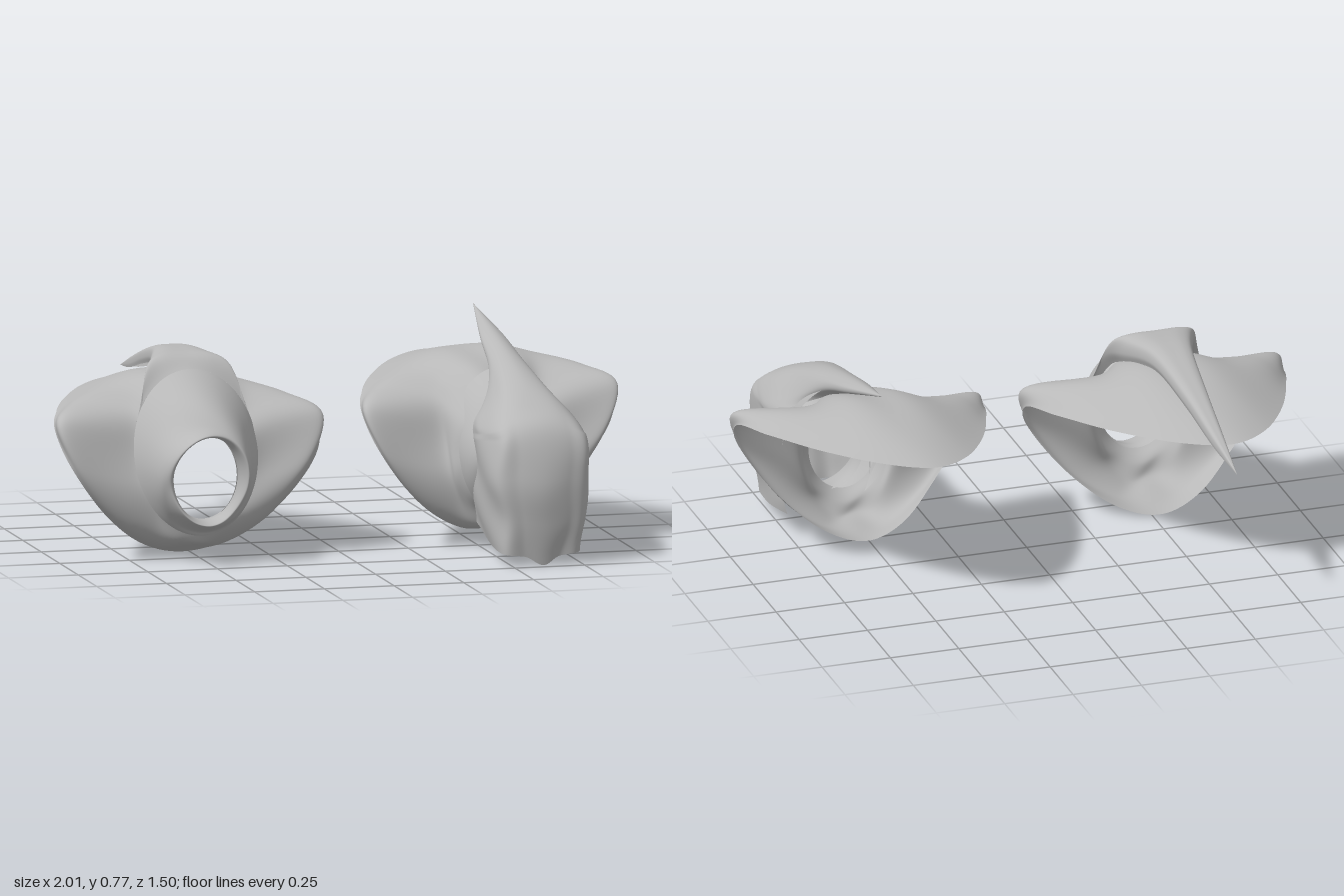
import * as THREE from 'three';

const cloth = new THREE.MeshStandardMaterial({ color: 0xb8b8b8, side: THREE.DoubleSide });
cloth.name = 'greyCloth';

const vec = (p) => new THREE.Vector3(...p);
const curve = (pts, closed) => new THREE.CatmullRomCurve3(pts, closed, 'catmullrom', 0.5);

// Half a section runs from the centre line outward; mirror it to a full one
function mirrorOpen(half) {
  return [...half.slice(1).reverse().map(([x, y, z]) => [-x, y, z]), ...half];
}
function mirrorClosed(half) {
  return [...half, ...half.slice(1, -1).reverse().map(([x, y, z]) => [-x, y, z])];
}

// Half an upright ellipse, top to bottom; lean pushes the top forward
function halfRing(rx, ry, cy, z, lean = 0) {
  return Array.from({ length: 9 }, (_, i) => {
    const a = (i * Math.PI) / 8;
    return [rx * Math.sin(a), cy + ry * Math.cos(a), z + lean * Math.cos(a)];
  });
}

// Smooth cloth through rows of control points
function drape(name, rows, closed, adjust = () => {}, across = 80, along = 40) {
  const lines = rows.map((r) => curve(r.map(vec), closed));
  const cols = closed ? across : across + 1;
  const pos = [], index = [];
  for (let i = 0; i < cols; i++) {
    const u = i / across;
    const rib = curve(lines.map((l) => l.getPoint(u)), false);
    for (let j = 0; j <= along; j++) {
      const p = rib.getPoint(j / along);
      adjust(p, u, j / along);
      pos.push(p.x, p.y, p.z);
    }
  }
  const n = along + 1;
  for (let i = 0; i < across; i++) {
    for (let j = 0; j < along; j++) {
      const a = i * n + j, b = ((i + 1) % cols) * n + j;
      index.push(a, a + 1, b, b, a + 1, b + 1);
    }
  }
  const geo = new THREE.BufferGeometry();
  geo.setAttribute('position', new THREE.Float32BufferAttribute(pos, 3));
  geo.setIndex(index);
  geo.computeVertexNormals();
  const mesh = new THREE.Mesh(geo, cloth);
  mesh.name = name;
  return mesh;
}

// Shoulder cape: neck hole, chest and shoulders, then the free hem
const chest = [
  [0, .61, .14], [.09, .6, .14], [.16, .57, .16], [.2, .51, .21], [.21, .42, .26],
  [.2, .28, .29], [.15, .15, .3], [.08, .08, .3], [0, .065, .3],
];
const shoulders = [
  [0, .625, -.08], [.11, .62, -.07], [.23, .59, 0], [.36, .55, .12], [.455, .49, .25],
  [.38, .32, .3], [.26, .145, .27], [.12, .05, .23], [0, .033, .21],
];
const hem = [
  [0, .527, -.51], [.16, .52, -.42], [.31, .505, -.22], [.42, .49, 0], [.47, .455, .18],
  [.435, .34, .27], [.31, .17, .24], [.16, .05, .16], [0, .006, .12],
];
function cape(lift, tilt, shift, scale) {
  const rows = [
    halfRing(.13, .155, .31, .37), halfRing(.165, .2, .32, .33), chest, shoulders, hem,
  ].map(mirrorClosed);
  return drape('shoulderCape', rows, true, (p, u, v) => {
    // soft folds fading toward the hem
    const fold = Math.sin(Math.PI * v) ** 2 * .008 * Math.sin(u * 44 + v * 7);
    p.z += fold;
    p.y += fold * .5 + lift * v * v + tilt * p.x;
    // the tail hangs slightly to one side
    p.x = p.x * scale - .1 * Math.max(0, -p.z);
    if (p.z < 0) p.z *= 1 - shift;
  }, 120, 48);
}

// Rolled collar: lip around the neck, rising backward to the hood's mouth
const mouth = halfRing(.222, .28, .378, .27, -.08);
function collar(x, outerEdge) {
  const rows = [
    halfRing(.125, .15, .31, .36), halfRing(.12, .148, .31, .42, .02), halfRing(.135, .16, .31, .47, .02),
    halfRing(.16, .18, .315, .43, .02), halfRing(.188, .225, .34, .36, -.01), outerEdge,
  ].map(mirrorClosed);
  const mesh = drape('rolledCollar', rows, true, (p, u, v) => {
    p.z += .014 * Math.sin(Math.PI * v) * Math.sin(u * 2 * Math.PI * 3 + v * 9);
  });
  mesh.position.x = x;
  return mesh;
}

// Tail of the lowered hood, lying over the back of the cape from the mouth's edge
function loweredHood() {
  // z, half width, top, bottom, how far the sides reach forward
  const rows = [
    [.14, .165, .697, .55, .07], [.08, .125, .71, .6, .03],
    [-.06, .075, .706, .637, 0], [-.3, .045, .655, .6, 0], [-.55, .022, .585, .545, 0], [-.75, 0, .522, .52, 0],
  ].map(([z, w, top, bottom, lean]) => {
    const h = top - bottom;
    return [
      [0, top, z], [w * .55, top - h * .03, z + lean * .1], [w * .9, top - h * .22, z + lean * .4],
      [w, top - h * .65, z + lean * .8], [w * .9, bottom, z + lean],
    ];
  });
  const mesh = drape('loweredHoodTail', [mouth.slice(0, 5), ...rows].map(mirrorOpen), false);
  mesh.position.x = .01;
  return mesh;
}

// Raised hood: pointed tail, crown, face cover and ragged lower edge
const tail = [
  [[0, .77, -.25], [0, .77, -.25], [0, .768, -.25], [0, .766, -.25], [0, .765, -.25]],
  [[0, .72, 0], [.02, .715, 0], [.04, .7, 0], [.035, .68, 0], [0, .67, 0]],
  [[0, .675, .2], [.035, .665, .2], [.06, .64, .2], [.06, .61, .2], [.02, .59, .2]],
  [[0, .62, .4], [.06, .605, .4], [.095, .57, .39], [.12, .53, .36], [.13, .5, .34]],
];
const crown = [
  [[0, .55, .58], [.08, .54, .58], [.135, .51, .56], [.17, .47, .47], [.165, .46, .38]],
  [[0, .475, .7], [.09, .465, .695], [.155, .44, .68], [.18, .42, .54], [.17, .4, .385]],
];
const faceCover = [
  [[0, .3, .75], [.09, .31, .735], [.165, .3, .7], [.18, .28, .54], [.165, .27, .375]],
  [[0, .15, .74], [.08, .16, .73], [.145, .16, .7], [.165, .16, .54], [.155, .16, .35]],
  [[0, .005, .715], [.06, .035, .71], [.135, .045, .695], [.15, .06, .54], [.145, .1, .33]],
];
function raisedHood() {
  const rows = [...tail, ...crown, ...faceCover].map(mirrorOpen);
  return drape('raisedHood', rows, false, (p, u, v) => {
    if (v > .6) p.x += .005 * Math.sin(p.y * 25 + p.z * 14);
  }, 80, 64);
}

export function createModel() {
  const model = new THREE.Group();
  model.name = 'hoodedCapes';

  const open = new THREE.Group();
  open.name = 'capeWithLoweredHood';
  open.add(cape(0, 0, 0, 1), collar(.01, mouth), loweredHood());
  open.position.x = -.527;

  const closed = new THREE.Group();
  closed.name = 'capeWithRaisedHood';
  const hood = raisedHood();
  hood.position.x = .065;
  closed.add(cape(.05, .06, .06, .955), collar(.05, halfRing(.205, .265, .36, .28, -.07)), hood);
  closed.position.x = .55;

  model.add(open, closed);
  return model;
}
